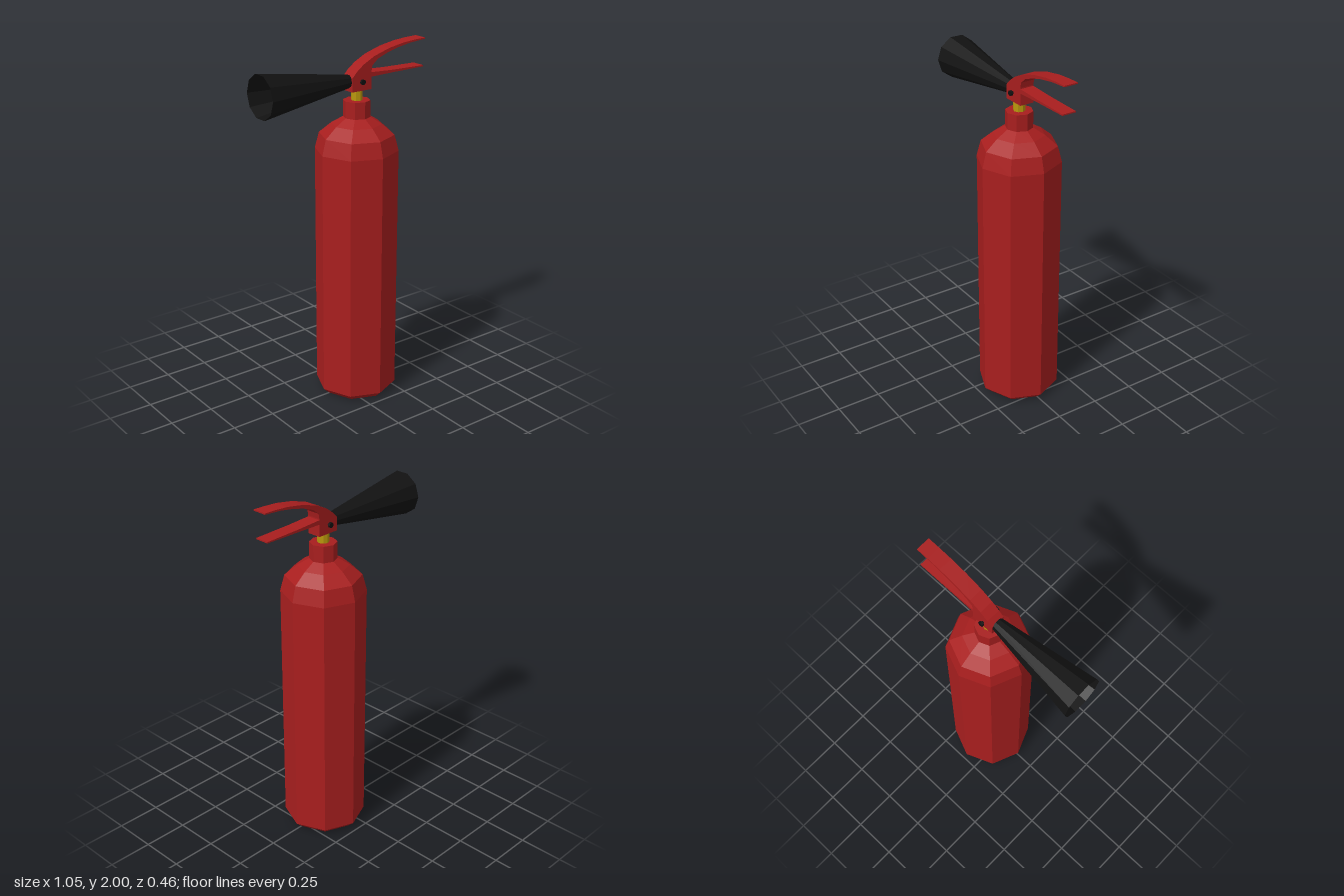
import * as THREE from 'three';

const mat = (color, side = THREE.FrontSide) =>
  new THREE.MeshStandardMaterial({ color, flatShading: true, side });

const AXIS_X = 0.085; // bottle axis
const PIVOT_Y = 1.82; // horn axis and hinge pin height
const LEVER_WIDTH = 0.08;

export function createModel() {
  const group = new THREE.Group();
  const red = mat(0xa81e1e);
  const black = mat(0x111111);
  const blackOpen = mat(0x111111, THREE.DoubleSide);
  const brass = mat(0xb8960c);

  const add = (name, geometry, material, x = 0, y = 0, z = 0) => {
    const mesh = new THREE.Mesh(geometry, material);
    mesh.name = name;
    mesh.position.set(x, y, z);
    group.add(mesh);
    return mesh;
  };
  const lathe = (points, sides) =>
    new THREE.LatheGeometry(points.map(([r, y]) => new THREE.Vector2(r, y)), sides);
  const extrude = (points, depth) =>
    new THREE.ExtrudeGeometry(
      new THREE.Shape(points.map(([x, y]) => new THREE.Vector2(x, y))),
      { depth, bevelEnabled: false }
    ).translate(0, 0, -depth / 2);

  // Octagonal bottle with chamfered base and faceted shoulder
  add('bottle', lathe([
    [0, 0], [0.192, 0], [0.229, 0.035], [0.229, 1.44],
    [0.206, 1.528], [0.138, 1.585], [0.07, 1.625], [0, 1.625],
  ], 8), red, AXIS_X);

  // Neck collar and brass valve stem
  add('neckCollar', lathe([[0, 1.6], [0.074, 1.6], [0.074, 1.715], [0, 1.715]], 8), red, AXIS_X);
  add('valveStem', new THREE.CylinderGeometry(0.032, 0.032, 0.1, 8), brass, AXIS_X, 1.745);

  // Valve block sweeping up into the curved top lever
  add('valveBlockAndTopLever', extrude([
    [0.025, 1.77], [0.153, 1.77], [0.153, 1.868], [0.158, 1.897],
    [0.195, 1.928], [0.26, 1.953], [0.33, 1.971], [0.42, 1.986], [0.522, 1.993],
    [0.522, 2], [0.45, 1.998], [0.37, 1.992], [0.27, 1.975], [0.17, 1.945],
    [0.1, 1.91], [0.055, 1.876], [0.025, 1.845],
  ], LEVER_WIDTH), red);

  // Lower carrying handle
  add('lowerHandle', extrude([
    [0.14, 1.837], [0.3, 1.84], [0.512, 1.842],
    [0.512, 1.849], [0.3, 1.854], [0.14, 1.862],
  ], LEVER_WIDTH), red);

  // Hinge pin with a wider head at each end
  add('hingePin', new THREE.CylinderGeometry(0.008, 0.008, 0.1, 8).rotateX(Math.PI / 2),
    black, AXIS_X, PIVOT_Y);
  for (const side of [-1, 1]) {
    add('hingePinHead', new THREE.CylinderGeometry(0.015, 0.015, 0.012, 8).rotateX(Math.PI / 2),
      black, AXIS_X, PIVOT_Y, side * 0.054);
  }

  // Discharge horn, open at the wide end
  const length = 0.555;
  add('dischargeHorn', new THREE.CylinderGeometry(0.12, 0.036, length, 10, 1, true).rotateZ(Math.PI / 2),
    blackOpen, -0.527 + length / 2, 1.823);

  return group;
}
